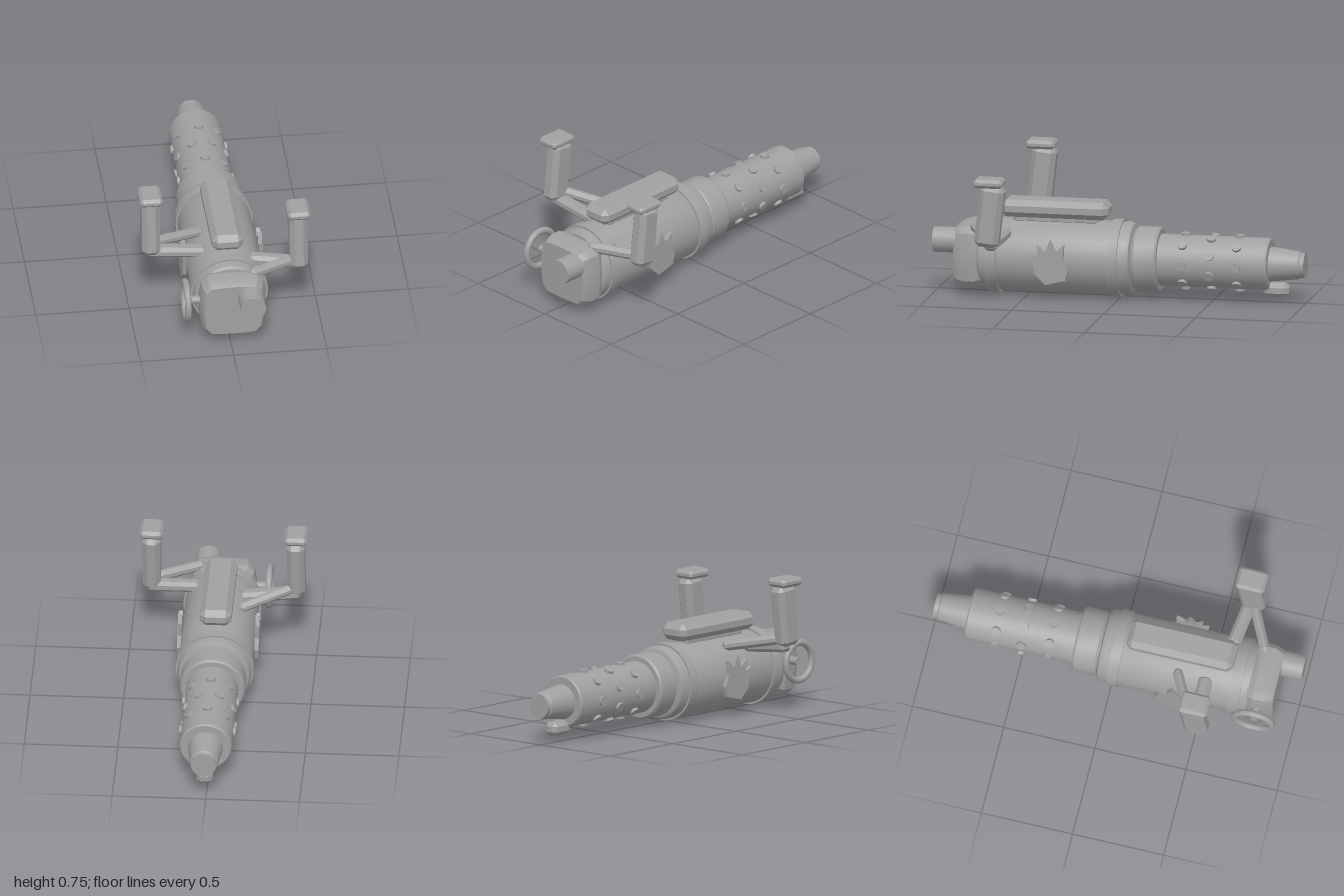
import * as THREE from 'three';
import { toCreasedNormals } from 'three/addons/utils/BufferGeometryUtils.js';
import { ConvexGeometry } from 'three/addons/geometries/ConvexGeometry.js';

const CX = 0.013, CY = 0.212; // main axis of the weapon body

export function createModel() {
  const root = new THREE.Group();
  const metal = new THREE.MeshStandardMaterial({ color: 0xa0a0a0 });
  metal.name = 'grey metal';

  const add = (name, geo, x = 0, y = 0, z = 0) => {
    const m = new THREE.Mesh(geo, metal);
    m.name = name;
    m.position.set(x, y, z);
    root.add(m);
    return m;
  };

  // Box with every edge chamfered by c
  const chamferBox = (w, h, d, c) => {
    const pts = [];
    for (const sx of [-1, 1]) for (const sy of [-1, 1]) for (const sz of [-1, 1]) {
      for (let k = 0; k < 3; k++) {
        pts.push(new THREE.Vector3(
          sx * (w / 2 - (k === 0 ? 0 : c)),
          sy * (h / 2 - (k === 1 ? 0 : c)),
          sz * (d / 2 - (k === 2 ? 0 : c))));
      }
    }
    return new ConvexGeometry(pts);
  };

  // Turned part along z from [radius, z] pairs, z increasing
  const turned = (name, profile, segs = 32) => {
    const g = new THREE.LatheGeometry(profile.map(([r, z]) => new THREE.Vector2(r, z)), segs);
    g.rotateX(Math.PI / 2);
    return add(name, toCreasedNormals(g, 0.5), CX, CY, 0);
  };

  // Chamfered bar between two points
  const bar = (name, a, b, w, h) => {
    const p = new THREE.Vector3(...a), q = new THREE.Vector3(...b);
    const m = add(name, chamferBox(w, h, p.distanceTo(q), 0.018));
    m.position.copy(p).lerp(q, 0.5);
    m.lookAt(q);
  };

  // Main body, bands, collar, barrel and nozzle
  turned('body', [[0, -0.076], [0.172, -0.076], [0.188, -0.068], [0.197, -0.045],
    [0.197, 0.715], [0.19, 0.745], [0.178, 0.755], [0, 0.755]]);
  for (const [z0, z1] of [[-0.012, 0.043], [0.647, 0.706]]) {
    turned('bodyBand', [[0.19, z0], [0.208, z0], [0.208, z1], [0.19, z1]]);
  }
  turned('neck', [[0.15, -0.1], [0.15, -0.06]]);
  turned('collar', [[0, -0.216], [0.165, -0.216], [0.174, -0.205], [0.174, -0.093], [0.165, -0.082], [0, -0.082]]);
  turned('barrel', [[0, -0.812], [0.132, -0.812], [0.139, -0.804], [0.139, -0.2]]);
  turned('nozzle', [[0, -0.978], [0.066, -0.978], [0.074, -0.97], [0.092, -0.825], [0.094, -0.8]]);
  turned('nozzleTip', [[0, -1], [0.067, -1], [0.067, -0.97]]);

  // Three staggered rings of studs on the barrel
  [-0.35, -0.5, -0.645].forEach((z, row) => {
    for (let i = 0; i < 8; i++) {
      const a = (i + (row === 1 ? 0.5 : 0)) * Math.PI / 4;
      const stud = add('barrelStud', toCreasedNormals(new THREE.CylinderGeometry(0.025, 0.025, 0.04, 12), 0.6),
        CX + Math.cos(a) * 0.132, CY + Math.sin(a) * 0.132, z);
      stud.rotation.z = a - Math.PI / 2;
    }
  });

  // Sight block under the nozzle
  add('lowerSight', chamferBox(0.085, 0.075, 0.138, 0.022), CX, 0.075, -0.845);

  // Bulging end block
  const blockPts = [];
  for (const [z, s] of [[0.74, 0.92], [0.775, 1], [0.835, 0.99], [0.872, 0.92], [0.885, 0.87]]) {
    for (const [u, v] of [[1, 0], [0.985, 0.4], [0.93, 0.76], [0.75, 0.96], [0.4, 0.99], [0, 1]]) {
      for (const i of [-1, 1]) for (const j of [-1, 1]) {
        blockPts.push(new THREE.Vector3(u * i * s * 0.178, v * j * s * 0.172, z));
      }
    }
  }
  add('endBlock', toCreasedNormals(new ConvexGeometry(blockPts), 0.4), 0.016, 0.213, 0);

  // Fuel pipe on the end block
  const pipe = add('endPipe', new THREE.CylinderGeometry(0.068, 0.068, 0.16, 32), 0.107, 0.292, 0.92);
  pipe.rotation.x = Math.PI / 2;

  // Valve wheel with its axle
  const wheel = add('valveWheel', new THREE.TorusGeometry(0.102, 0.018, 10, 32), -0.23, 0.243, 0.802);
  wheel.rotation.y = Math.PI / 2;
  const axle = add('valveAxle', new THREE.CylinderGeometry(0.022, 0.022, 0.1, 10), -0.175, 0.243, 0.802);
  axle.rotation.z = Math.PI / 2;

  // Flame-shaped plates on both sides, drawn as (z, y)
  const flame = [[0.37, 0.092], [0.43, 0.15], [0.45, 0.26], [0.412, 0.237], [0.418, 0.305], [0.375, 0.268],
    [0.347, 0.335], [0.318, 0.272], [0.272, 0.31], [0.276, 0.235], [0.25, 0.175], [0.262, 0.12]];
  for (const side of [-1, 1]) {
    const shape = new THREE.Shape(flame.map(([z, y]) => new THREE.Vector2(-z, y)));
    const g = new THREE.ExtrudeGeometry(shape, { depth: 0.022, bevelEnabled: false });
    g.rotateY(Math.PI / 2);
    add('flamePlate', g, CX + side * 0.207 - 0.011, 0, 0);
  }

  // Top rail on its foot
  add('topRail', chamferBox(0.17, 0.094, 0.585, 0.03), 0.015, 0.47, 0.353);
  add('railFoot', chamferBox(0.1, 0.06, 0.46, 0.015), 0.015, 0.42, 0.353);

  // Two leaning grips with caps
  for (const [x, y0, y1, z] of [[-0.389, 0.385, 0.718, 0.515], [0.389, 0.32, 0.655, 0.64]]) {
    const grip = add('grip', chamferBox(0.097, y1 - y0, 0.132, 0.026), x, (y0 + y1) / 2, z);
    grip.rotation.x = -0.11;
    add('gripCap', chamferBox(0.123, 0.047, 0.16, 0.016), x, y1 + 0.015, z + 0.003);
  }

  // Paired arms carrying the grips
  bar('armRightFront', [-0.09, 0.352, 0.51], [-0.412, 0.385, 0.515], 0.075, 0.06);
  bar('armRightBack', [-0.09, 0.37, 0.35], [-0.385, 0.425, 0.5], 0.052, 0.055);
  bar('armLeftFront', [0.115, 0.373, 0.785], [0.4, 0.365, 0.645], 0.052, 0.058);
  bar('armLeftBack', [0.125, 0.35, 0.605], [0.412, 0.328, 0.64], 0.072, 0.06);

  return root;
}
